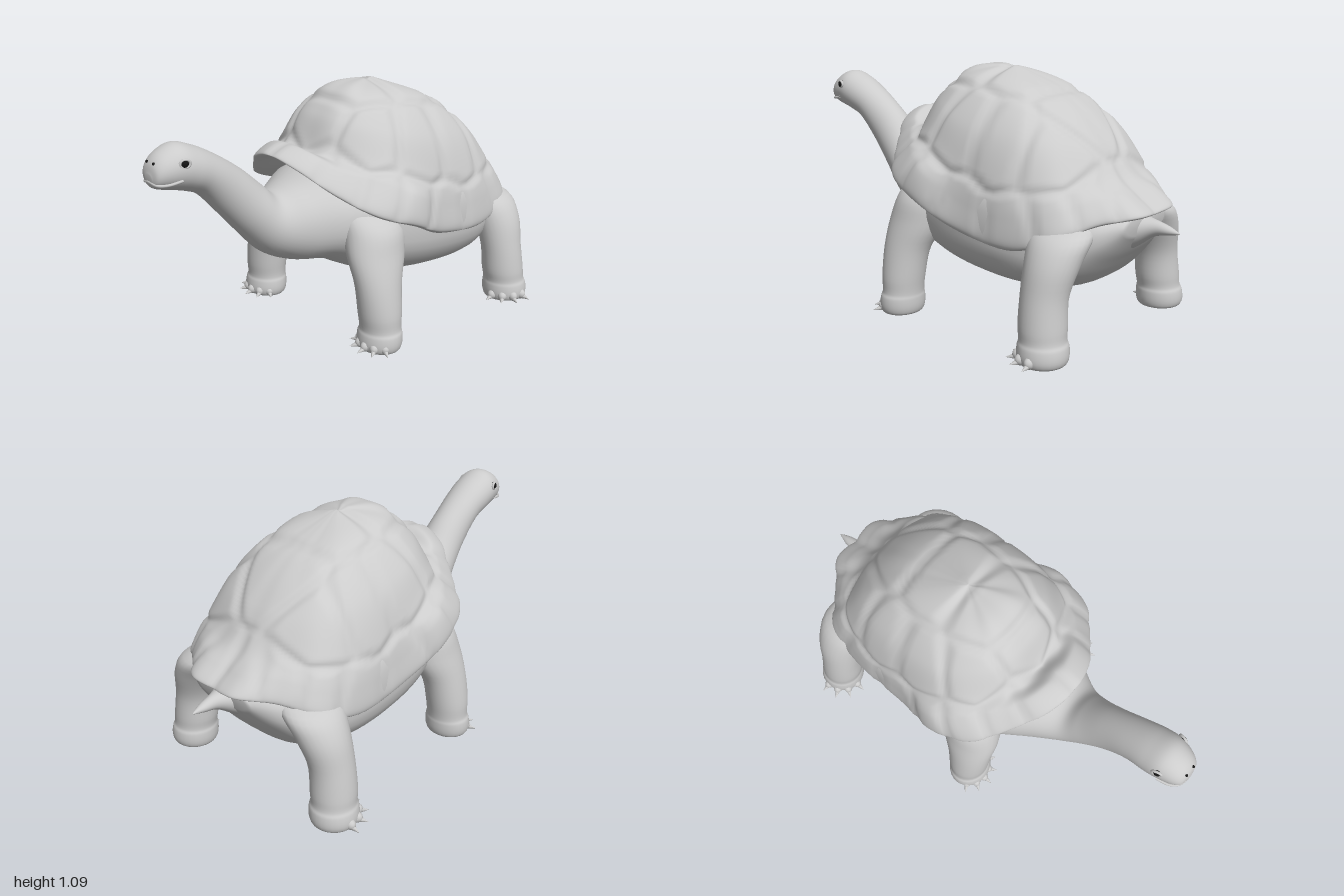
import * as THREE from 'three';

const grey = new THREE.MeshStandardMaterial({ color: 0xcccccc, side: THREE.DoubleSide });
const dark = new THREE.MeshStandardMaterial({ color: 0x151515 });
const V = (x, y, z) => new THREE.Vector3(x, y, z);

function part(name, geometry, material = grey) {
  const mesh = new THREE.Mesh(geometry, material);
  mesh.name = name;
  return mesh;
}

// Smooth closed skin through a list of rings (equal point counts), with both ends capped
function loft(rings, rows, tweak) {
  const n = rings[0].length, pos = [], idx = [];
  const columns = rings[0].map((_, i) => new THREE.CatmullRomCurve3(rings.map(r => r[i])));
  for (let j = 0; j <= rows; j++) {
    for (const c of columns) {
      const p = c.getPoint(j / rows);
      if (tweak) tweak(p, j / rows);
      pos.push(p.x, p.y, p.z);
    }
  }
  const at = i => V(pos[3 * i], pos[3 * i + 1], pos[3 * i + 2]);
  for (let j = 0; j < rows; j++) {
    for (let i = 0; i < n; i++) {
      const a = j * n + i, b = j * n + (i + 1) % n;
      idx.push(a, b, a + n, b, b + n, a + n);
    }
  }
  [0, rows].forEach((row, k) => {
    const mid = V(0, 0, 0);
    for (let i = 0; i < n; i++) mid.addScaledVector(at(row * n + i), 1 / n);
    const m = pos.length / 3;
    pos.push(mid.x, mid.y, mid.z);
    for (let i = 0; i < n; i++) {
      const a = row * n + i, b = row * n + (i + 1) % n;
      idx.push(m, k ? a : b, k ? b : a);
    }
  });
  // Turn the skin outward if its volume comes out negative
  let volume = 0;
  for (let i = 0; i < idx.length; i += 3) volume += at(idx[i]).dot(at(idx[i + 1]).cross(at(idx[i + 2])));
  if (volume < 0) idx.reverse();
  const g = new THREE.BufferGeometry();
  g.setAttribute('position', new THREE.Float32BufferAttribute(pos, 3));
  g.setIndex(idx);
  g.computeVertexNormals();
  return g;
}

// Upright sections along the spine: [top z, top y, bottom z, bottom y, half width, squareness]
function spineRing([tz, ty, bz, by, w, p = 1]) {
  return Array.from({ length: 40 }, (_, i) => {
    const a = i / 40 * Math.PI * 2;
    const c = Math.sign(Math.cos(a)) * Math.abs(Math.cos(a)) ** p;
    const s = Math.sign(Math.sin(a)) * Math.abs(Math.sin(a)) ** p;
    return V(w * c, (ty + by) / 2 + s * (ty - by) / 2, (tz + bz) / 2 + s * (tz - bz) / 2);
  });
}

// Level sections of a leg: [x, y, z, radius x, radius z]
function legRing([x, y, z, rx, rz], side) {
  return Array.from({ length: 28 }, (_, i) => {
    const a = i / 28 * Math.PI * 2;
    return V(side * (x + rx * Math.cos(a)), y, z + rz * Math.sin(a));
  });
}

// Half outlines of the shell, front to rear, from the crown down to the rim
const crown = [[0, 1.07, .03], [.07, 1.07, .02], [.12, 1.05, 0], [.16, 1.04, -.05], [.18, 1.03, -.12], [.19, 1.02, -.22],
  [.18, .99, -.36], [.14, .97, -.43], [.09, .96, -.46], [.04, .96, -.47], [0, .96, -.47]];
const dome = [[0, .97, .15], [.10, .97, .14], [.19, .95, .10], [.26, .93, .02], [.31, .90, -.08], [.33, .87, -.22],
  [.31, .84, -.45], [.25, .83, -.55], [.15, .82, -.61], [.07, .82, -.63], [0, .82, -.63]];
const base = [[0, .83, .24], [.12, .83, .235], [.22, .81, .19], [.34, .78, .07], [.39, .73, -.05], [.40, .68, -.22],
  [.39, .65, -.48], [.32, .68, -.62], [.20, .68, -.70], [.1, .67, -.745], [0, .67, -.745]];
const flare = [[0, .875, .32], [.13, .85, .30], [.25, .78, .23], [.38, .73, .10], [.445, .67, -.02], [.425, .58, -.2],
  [.415, .54, -.5], [.36, .58, -.66], [.23, .62, -.75], [.11, .62, -.82], [0, .61, -.82]];
const rim = [[0, .84, .415], [.14, .80, .385], [.28, .70, .29], [.41, .62, .18], [.465, .55, 0], [.435, .46, -.2],
  [.42, .425, -.5], [.38, .49, -.68], [.24, .54, -.79], [.12, .56, -.89], [0, .555, -.89]];

function shellGeometry() {
  const outline = half => {
    const pts = half.map(p => V(...p));
    for (let i = half.length - 2; i > 0; i--) pts.push(V(-half[i][0], half[i][1], half[i][2]));
    const curve = new THREE.CatmullRomCurve3(pts, true);
    return Array.from({ length: 160 }, (_, i) => curve.getPoint(i / 160));
  };
  const inward = (s, dy) => rim.map(([x, y, z]) => [x * s, y + dy, -.2 + (z + .2) * s]);
  const rings = [crown, dome, base, flare, rim, inward(.95, -.015), inward(.74, -.01)].map(outline);
  rings.unshift(rings[0].map((_, i) => {
    const a = i / 160 * Math.PI * 2;
    return V(.004 * Math.sin(a), 1.09, -.16 + .004 * Math.cos(a));
  }));
  // Scute centres; grooves run where two of them are equally near
  const scutes = [[0, .95, .18], [0, 1.08, -.02], [0, 1.07, -.27], [0, .9, -.52]].map(p => V(...p));
  for (const s of [-1, 1]) {
    for (const [x, y, z] of [[.28, .88, .09], [.36, .83, -.14], [.35, .8, -.38], [.27, .76, -.57]]) scutes.push(V(s * x, y, z));
    flare.slice(1, -1).forEach(([x, y, z], i) => {
      scutes.push(V(s * (x + rim[i + 1][0]) / 2, (y + rim[i + 1][1]) / 2, (z + rim[i + 1][2]) / 2));
    });
  }
  const heart = V(0, .62, -.2);
  return loft(rings, 84, (p, t) => {
    const d = scutes.map(s => s.distanceTo(p)).sort((a, b) => a - b);
    const groove = 1 - THREE.MathUtils.smoothstep(d[1] - d[0], 0, .07);
    const fade = 1 - THREE.MathUtils.smoothstep(t, .66, .76);
    p.addScaledVector(p.clone().sub(heart).normalize(), (.004 - .013 * groove) * fade);
  });
}

// Foot with a fan of toes and claws, facing +z before it is turned
function toes(count, spread, reach) {
  const foot = new THREE.Group();
  foot.name = 'toes';
  for (let i = 0; i < count; i++) {
    const toe = new THREE.Group();
    toe.name = 'toe';
    toe.rotation.y = (i / (count - 1) - .5) * spread;
    const pad = part('toePad', new THREE.SphereGeometry(.025, 14, 10));
    pad.position.set(0, .034, reach - .01);
    pad.scale.set(.9, 1, 1.2);
    const claw = part('claw', new THREE.ConeGeometry(.016, .05, 10));
    claw.position.set(0, .023, reach + .022);
    claw.rotation.x = 1.75;
    toe.add(pad, claw);
    foot.add(toe);
  }
  return foot;
}

export function createModel() {
  const tortoise = new THREE.Group();
  tortoise.name = 'tortoise';
  tortoise.add(part('shell', shellGeometry()));

  // Head, neck, chest and belly in one skin
  const spine = [
    [.998, .885, .996, .85, .022], [.985, .93, .988, .832, .055], [.95, .965, .955, .818, .078], [.88, .99, .885, .80, .097],
    [.80, .965, .845, .787, .099], [.70, .91, .79, .762, .093], [.58, .825, .69, .655, .093], [.48, .735, .59, .54, .11],
    [.42, .685, .48, .425, .14], [.33, .70, .36, .365, .2, .95], [.2, .73, .23, .345, .29, .9], [.05, .76, .06, .265, .375, .8],
    [-.2, .78, -.2, .213, .425, .75], [-.5, .72, -.5, .205, .41, .75], [-.66, .64, -.66, .24, .34, .8],
    [-.78, .58, -.77, .36, .26, .85], [-.85, .55, -.84, .46, .14]];
  tortoise.add(part('body', loft(spine.map(spineRing), 110)));

  const tail = [[-.78, .56, -.73, .35, .12], [-.85, .535, -.82, .41, .065], [-.9, .525, -.89, .46, .032],
    [-.95, .512, -.95, .475, .02], [-.998, .492, -.996, .486, .003]];
  tortoise.add(part('tail', loft(tail.map(spineRing), 24)));

  const frontLeg = [[.20, .62, .10, .08, .11], [.28, .53, .09, .12, .14], [.325, .42, .11, .11, .14], [.37, .3, .137, .095, .11],
    [.39, .17, .145, .097, .095], [.394, .10, .145, .096, .088], [.395, .08, .147, .103, .092], [.395, .035, .15, .105, .093],
    [.395, .01, .15, .095, .083], [.395, .003, .15, .07, .06]];
  const hindLeg = [[.20, .55, -.60, .1, .1], [.30, .49, -.65, .12, .13], [.365, .40, -.66, .11, .115], [.41, .27, -.655, .095, .097],
    [.425, .15, -.66, .098, .098], [.43, .10, -.665, .096, .096], [.432, .08, -.668, .102, .102], [.435, .035, -.67, .104, .104],
    [.435, .01, -.67, .094, .094], [.435, .003, -.67, .07, .07]];
  for (const s of [1, -1]) {
    tortoise.add(part('frontLeg', loft(frontLeg.map(r => legRing(r, s)), 40)));
    tortoise.add(part('hindLeg', loft(hindLeg.map(r => legRing(r, s)), 40)));
    const frontToes = toes(5, 2.1, .09), hindToes = toes(4, 1.6, .1);
    frontToes.position.set(s * .395, 0, .148);
    hindToes.position.set(s * .435, 0, -.67);
    hindToes.rotation.y = s * .85;
    tortoise.add(frontToes, hindToes);

    // Eyes with lids, and nostrils
    const eye = part('eye', new THREE.SphereGeometry(.018, 16, 12), dark);
    eye.position.set(s * .083, .925, .888);
    const lid = part('eyelid', new THREE.TorusGeometry(.02, .006, 8, 24));
    lid.position.set(s * .09, .925, .888);
    lid.rotation.y = s * 1.3;
    lid.scale.y = .8;
    const nostril = part('nostril', new THREE.SphereGeometry(.006, 10, 8), dark);
    nostril.position.set(s * .023, .93, .984);
    tortoise.add(eye, lid, nostril);
  }

  // Lip line around the beak
  const lip = new THREE.CatmullRomCurve3([V(-.09, .86, .9), V(-.073, .85, .955), V(-.045, .848, .985), V(0, .856, .994),
    V(.045, .848, .985), V(.073, .85, .955), V(.09, .86, .9)]);
  tortoise.add(part('lip', new THREE.TubeGeometry(lip, 40, .006, 8)));
  return tortoise;
}
